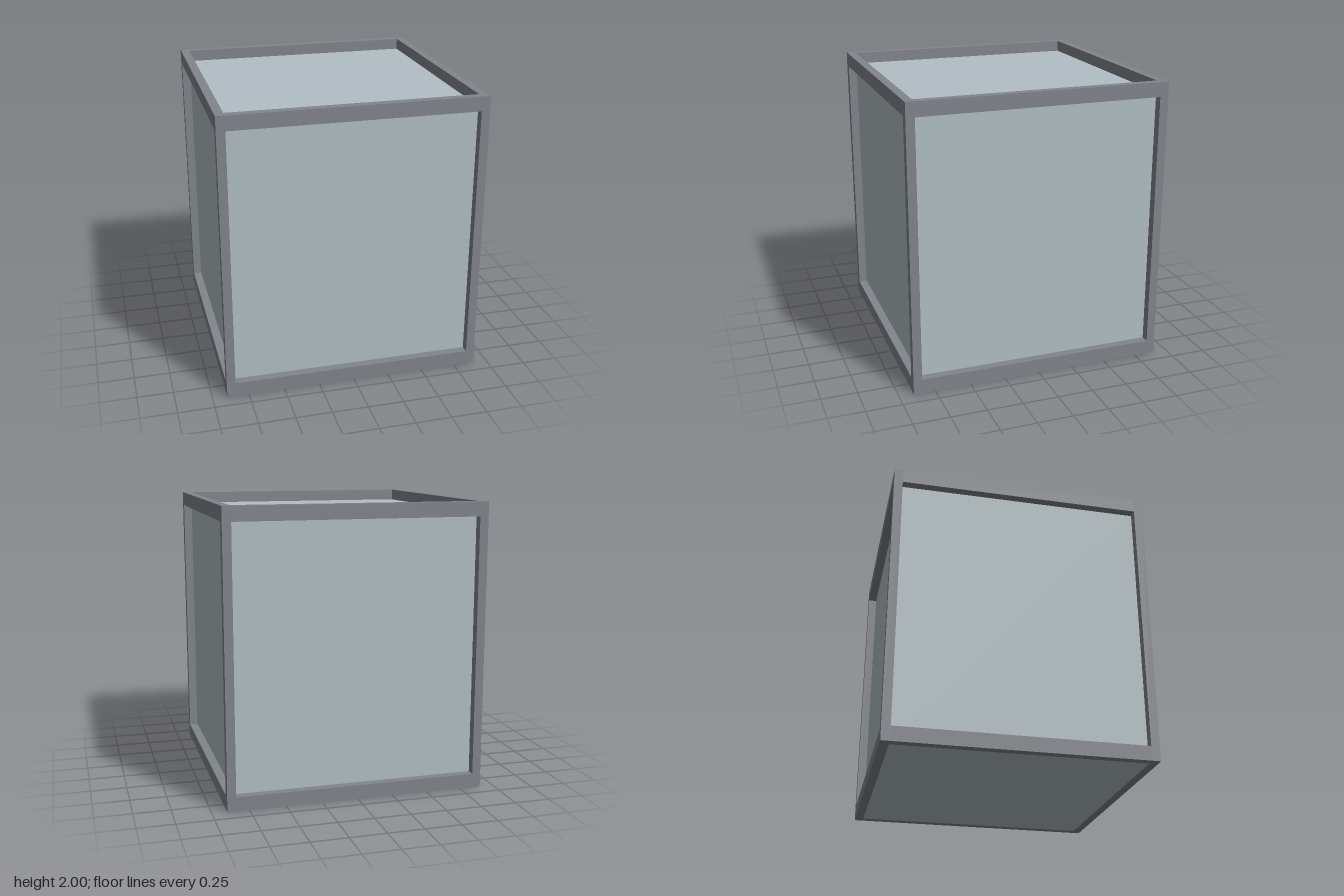
import * as THREE from 'three';

const WIDTH = 1.8, HEIGHT = 2, BAR = 0.06, RAIL = 0.1;
const INNER = WIDTH - 2 * BAR;
const GLASS_HEIGHT = 1.92;

export function createModel() {
  const model = new THREE.Group();
  model.name = 'framedGlassBlock';

  const frameGrey = new THREE.MeshStandardMaterial({ color: 0x81858d });
  frameGrey.name = 'frameGrey';
  const paleGlass = new THREE.MeshStandardMaterial({ color: 0xb2bfc4 });
  paleGlass.name = 'paleGlass';

  const addBox = (parent, name, material, size, position) => {
    const mesh = new THREE.Mesh(new THREE.BoxGeometry(...size), material);
    mesh.name = name;
    mesh.position.set(...position);
    parent.add(mesh);
  };

  // Glass body, recessed behind the sides and top of the frame, flush below
  addBox(model, 'glassBody', paleGlass, [INNER, GLASS_HEIGHT, INNER], [0, GLASS_HEIGHT / 2, 0]);

  // One post plus a bottom and top rail per side, turned around the centre
  const offset = (WIDTH - BAR) / 2;
  ['front', 'left', 'back', 'right'].forEach((side, i) => {
    const frame = new THREE.Group();
    frame.name = side + 'Frame';
    frame.rotation.y = i * Math.PI / 2;
    addBox(frame, side + 'Post', frameGrey, [BAR, HEIGHT, BAR], [offset, HEIGHT / 2, offset]);
    addBox(frame, side + 'BottomRail', frameGrey, [INNER, RAIL, BAR], [0, RAIL / 2, offset]);
    addBox(frame, side + 'TopRail', frameGrey, [INNER, RAIL, BAR], [0, HEIGHT - RAIL / 2, offset]);
    model.add(frame);
  });

  return model;
}
